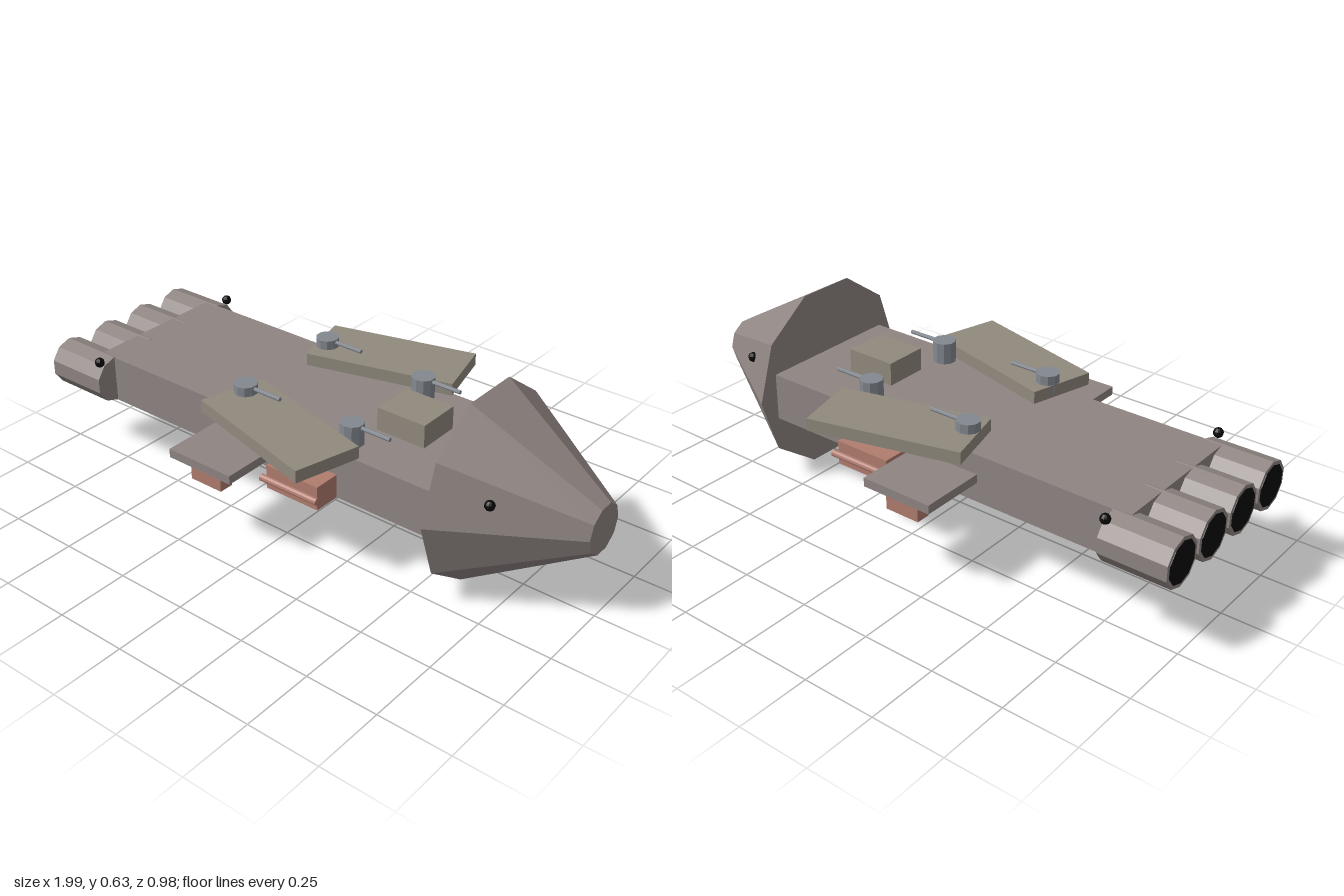
import * as THREE from 'three';

const mat = (color) => new THREE.MeshStandardMaterial({ color, flatShading: true });

export function createModel() {
  const ship = new THREE.Group();
  ship.name = 'spaceship';
  const hullMat = mat(0x8f8582), wingMat = mat(0x918a7e), redMat = mat(0xb07c6f);
  const gunMat = mat(0x838890), blackMat = mat(0x080808);

  const add = (name, geometry, material, x, y, z) => {
    const mesh = new THREE.Mesh(geometry, material);
    mesh.name = name;
    mesh.position.set(x, y, z);
    ship.add(mesh);
    return mesh;
  };
  // Box given by its extents on each axis
  const box = (name, material, [x0, x1], [y0, y1], [z0, z1]) =>
    add(name, new THREE.BoxGeometry(x1 - x0, y1 - y0, z1 - z0), material,
      (x0 + x1) / 2, (y0 + y1) / 2, (z0 + z1) / 2);
  // Cylinder lying along x; r1 is the radius at the +x end
  const rod = (r1, r0, length, sides = 10, turn = 0) =>
    new THREE.CylinderGeometry(r1, r0, length, sides).rotateY(turn).rotateZ(-Math.PI / 2);

  // Hull, nose and bridge
  box('hull', hullMat, [-0.82, 0.59], [0.235, 0.40], [-0.26, 0.26]);
  add('nose', rod(0.083, 0.333, 0.413), hullMat, 0.7915, 0.317, 0);
  box('bridge', wingMat, [0.23, 0.41], [0.40, 0.48], [-0.077, 0.077]);

  // Row of four engines with dark nozzle openings
  for (let i = 0; i < 4; i++) {
    const z = (i - 1.5) * 0.173;
    add('engine', rod(0.083, 0.083, 0.23, 10, Math.PI / 10), hullMat, -0.877, 0.319, z);
    add('nozzle', rod(0.07, 0.07, 0.01, 10, Math.PI / 10), blackMat, -0.989, 0.319, z);
  }

  // Everything mirrored on both flanks
  for (const s of [1, -1]) {
    const span = (a, b) => (s > 0 ? [a, b] : [-b, -a]);

    const wing = add('wing', new THREE.BoxGeometry(0.522, 0.043, 0.233), wingMat, 0.008, 0.4215, s * 0.293);
    wing.rotation.y = -s * THREE.MathUtils.degToRad(14.7);

    box('sidePlate', hullMat, [-0.275, -0.02], [0.302, 0.332], span(0.22, 0.49));
    box('platePod', redMat, [-0.21, -0.085], [0.235, 0.302], span(0.412, 0.463));
    box('sidePod', redMat, [0.01, 0.215], [0.235, 0.318], span(0.24, 0.354));
    add('podRod', rod(0.012, 0.012, 0.225), redMat, 0.112, 0.276, s * 0.366);

    // Turrets with forward barrels
    for (const [x, z] of [[-0.2, 0.208], [0.217, 0.186]]) {
      add('turret', new THREE.CylinderGeometry(0.04, 0.04, 0.074, 10), gunMat, x, 0.438, s * z);
      add('barrel', rod(0.007, 0.007, 0.145, 8), gunMat, x + 0.0725, 0.464, s * z);
    }

    // Small dark lamps on nose and engines
    const lamp = new THREE.SphereGeometry(0.017, 10, 8);
    add('noseLamp', lamp, blackMat, 0.74, 0.403, s * 0.215);
    add('engineLamp', lamp, blackMat, -0.773, 0.401, s * 0.317);
  }
  return ship;
}
